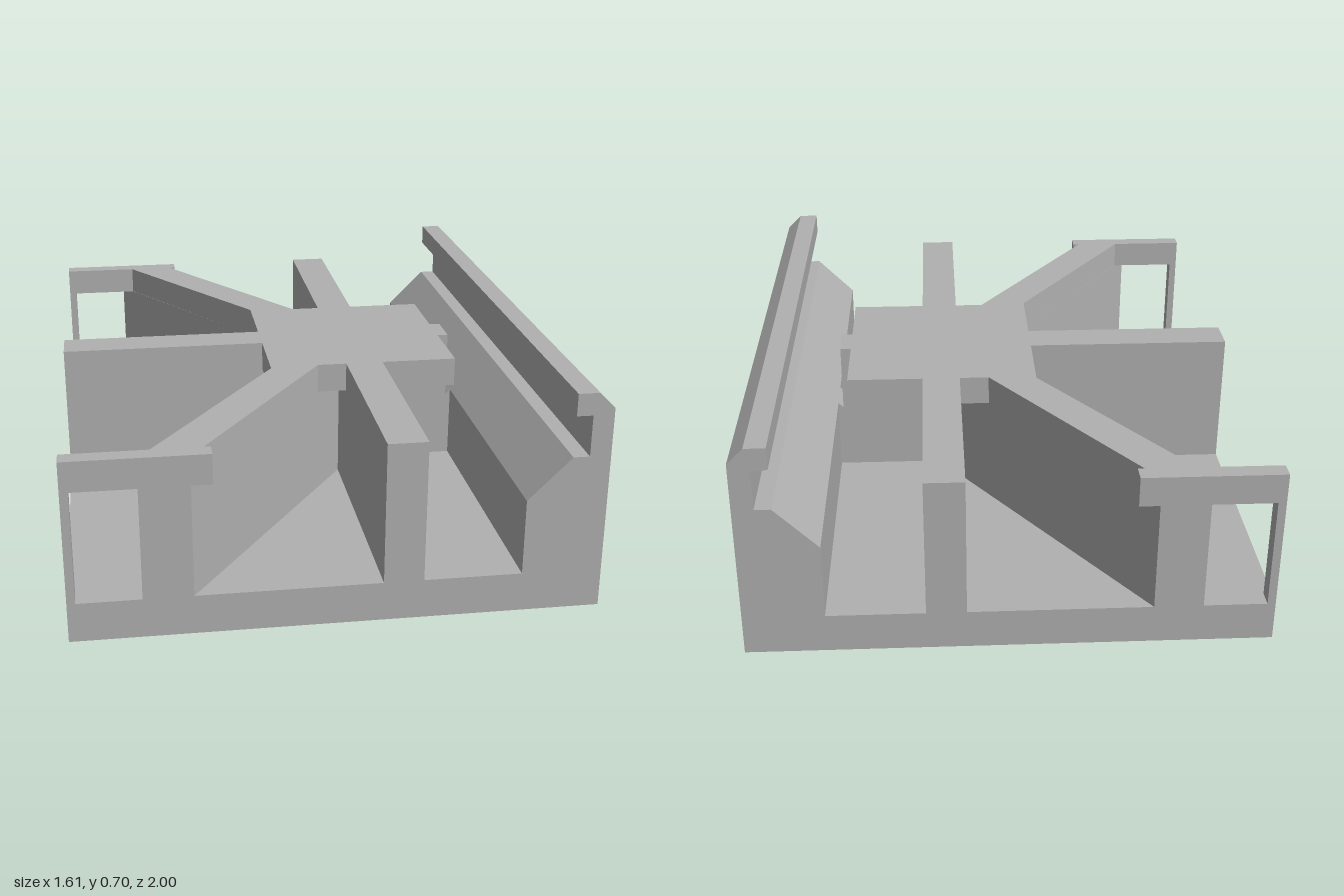
import * as THREE from 'three';

const FLOOR = 0.125, CAP = 0.48, TOP = 0.575;
const EDGE = 0.805, SPINE = 0.063;

const toShape = (pts) => new THREE.Shape(pts.map(([x, y]) => new THREE.Vector2(x, y)));

export function createModel() {
  const group = new THREE.Group();
  const grey = new THREE.MeshStandardMaterial({ color: 0xb0b0b0 });
  grey.name = 'plain grey';

  const add = (name, geometry) => {
    const mesh = new THREE.Mesh(geometry, grey);
    mesh.name = name;
    group.add(mesh);
  };

  // Extrudes a plan outline of [x, z] points upward from y0 to y1
  const addPlan = (name, pts, y0, y1) => {
    const geometry = new THREE.ExtrudeGeometry(toShape(pts.map(([x, z]) => [x, -z])), {
      depth: y1 - y0, bevelEnabled: false,
    });
    geometry.rotateX(-Math.PI / 2);
    geometry.translate(0, y0, 0);
    add(name, geometry);
  };

  const addBox = (name, x0, x1, y0, y1, z0, z1) => {
    const geometry = new THREE.BoxGeometry(x1 - x0, y1 - y0, z1 - z0);
    geometry.translate((x0 + x1) / 2, (y0 + y1) / 2, (z0 + z1) / 2);
    add(name, geometry);
  };

  // Base slab
  addBox('base', -EDGE, EDGE, 0, FLOOR, -1, 1);

  // Hooked side rail with a sloping ledge
  const rail = new THREE.ExtrudeGeometry(toShape([
    [0.557, FLOOR], [EDGE, FLOOR], [EDGE, 0.65], [0.755, 0.7], [0.69, 0.7],
    [0.69, 0.63], [0.74, 0.63], [0.74, 0.5], [0.69, 0.5], [0.557, 0.367],
  ]), { depth: 2, bevelEnabled: false });
  rail.translate(0, 0, -1);
  add('sideRail', rail);

  // Small ledge extension where the spine meets the rail
  const ledge = new THREE.ExtrudeGeometry(toShape([
    [0.54, FLOOR], [0.557, FLOOR], [0.557, 0.367], [0.54, 0.35],
  ]), { depth: SPINE * 2, bevelEnabled: false });
  ledge.translate(0, 0, -SPINE);
  add('ledgeTab', ledge);

  // Lower walls beneath the cap
  addBox('spineWall', -EDGE, 0.54, FLOOR, CAP, -SPINE, SPINE);
  addBox('crossWall', 0.132, 0.255, FLOOR, CAP, -1, 1);
  for (const s of [1, -1]) {
    addPlan('diagonalWall', [
      [-0.585, s], [-0.434, s], [0.132, s * 0.17], [0.132, s * -0.05],
    ], FLOOR, CAP);
    addBox('cornerPost', -EDGE, -0.78, FLOOR, CAP, s > 0 ? 0.945 : -1, s > 0 ? 1 : -0.945);
  }

  // Upper cap: hub, arms, end brackets and rail tab in one outline
  const half = [
    [-EDGE, SPINE], [-0.122, SPINE], [-0.122, 0.322], [-0.546, 0.945],
    [-EDGE, 0.945], [-EDGE, 1], [-0.371, 1], [-0.371, 0.945], [-0.392, 0.945],
    [0.036, 0.312], [0.132, 0.312], [0.132, 1], [0.255, 1], [0.255, 0.312],
    [0.504, 0.312], [0.504, SPINE], [0.54, SPINE],
  ];
  const mirrored = half.map(([x, z]) => [x, -z]).reverse();
  addPlan('topCap', [...half, ...mirrored], CAP, TOP);

  return group;
}
